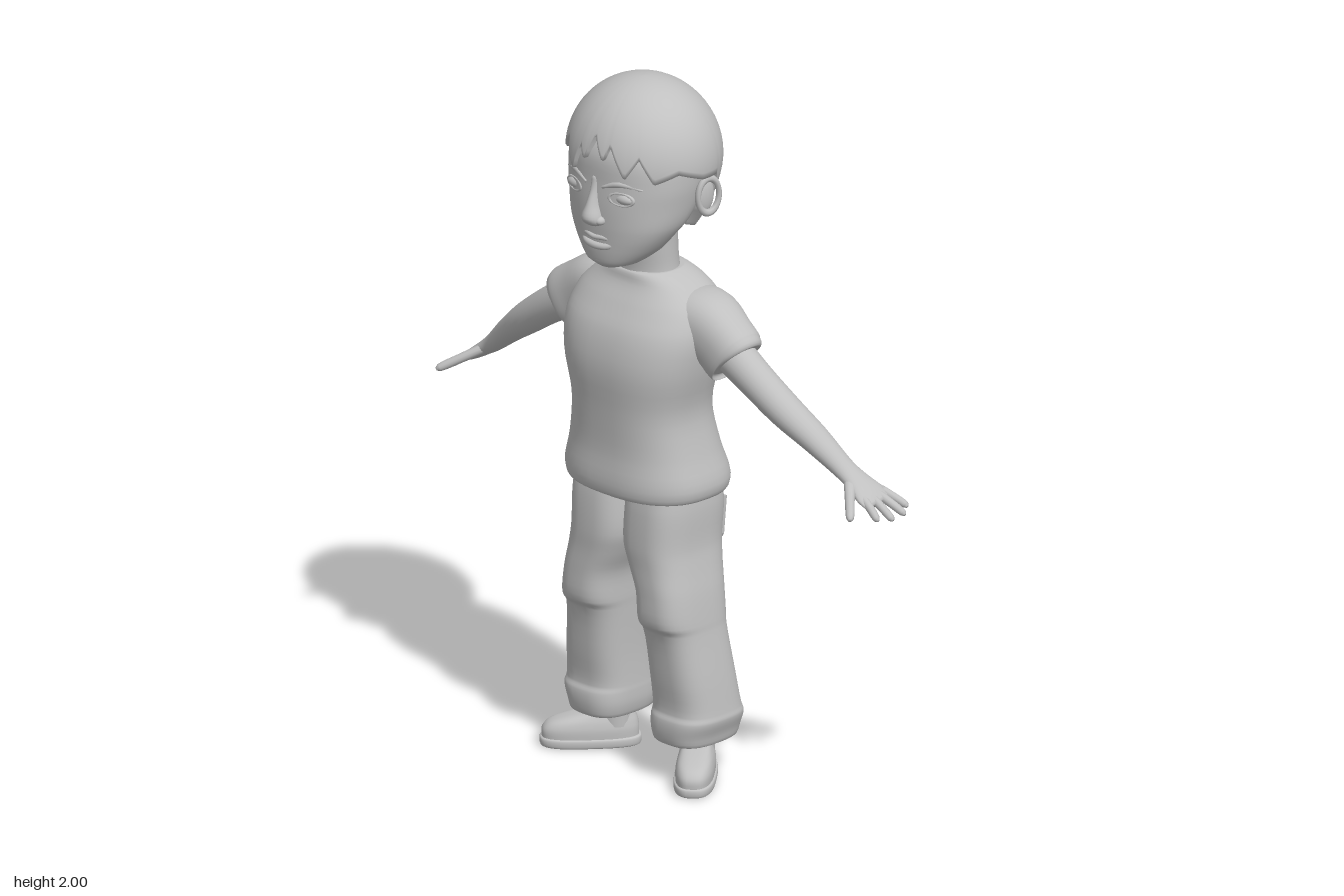
import * as THREE from 'three';

const V = (x, y, z) => new THREE.Vector3(x, y, z);
const clay = new THREE.MeshStandardMaterial({ color: 0xc0c0c0 });
clay.name = 'clay grey';

// Skin a list of closed rings (counter-clockwise about the direction of travel), capping both ends.
function skin(rings) {
  const n = rings[0].length, pos = [], idx = [];
  rings.forEach(r => r.forEach(p => pos.push(p.x, p.y, p.z)));
  for (let i = 0; i < rings.length - 1; i++) {
    for (let j = 0; j < n; j++) {
      const a = i * n + j, b = i * n + (j + 1) % n;
      idx.push(a, b, b + n, a, b + n, a + n);
    }
  }
  [0, rings.length - 1].forEach(i => {
    const c = rings[i].reduce((s, p) => s.add(p), V(0, 0, 0)).divideScalar(n);
    const k = pos.length / 3;
    pos.push(c.x, c.y, c.z);
    for (let j = 0; j < n; j++) {
      const a = i * n + j, b = i * n + (j + 1) % n;
      if (i === 0) idx.push(k, b, a); else idx.push(k, a, b);
    }
  });
  const g = new THREE.BufferGeometry();
  g.setAttribute('position', new THREE.Float32BufferAttribute(pos, 3));
  g.setIndex(idx);
  g.computeVertexNormals();
  return g;
}

// Smooth loft through [x, y, z, radius up, radius across]; upright keeps the rings level.
function loft(sections, { upright = false, power = 2, n = 32, sub = 4 } = {}) {
  const path = new THREE.CatmullRomCurve3(sections.map(s => V(s[0], s[1], s[2])));
  const size = new THREE.CatmullRomCurve3(sections.map(s => V(s[3], s[4], s[1])));
  const steps = (sections.length - 1) * sub, rings = [];
  const bend = c => Math.sign(c) * Math.abs(c) ** (2 / power);
  for (let i = 0; i <= steps; i++) {
    const c = path.getPoint(i / steps), r = size.getPoint(i / steps);
    const t = upright ? V(0, 1, 0) : path.getTangent(i / steps);
    const u = V(0, 0, 1).cross(t).normalize(), v = t.clone().cross(u);
    rings.push(Array.from({ length: n }, (_, j) => {
      const a = j / n * Math.PI * 2;
      return c.clone().addScaledVector(u, r.x * bend(Math.cos(a))).addScaledVector(v, r.y * bend(Math.sin(a)));
    }));
  }
  return skin(rings);
}

// Level rings given as [y, half width, front z, back z, centre x].
const stack = (rows, power = 2.4, n = 40) => loft(
  rows.map(([y, rx, f, b, x = 0]) => [x, y, (f + b) / 2, rx, (f - b) / 2]), { upright: true, power, n });

function mirrored(g) {
  const m = g.clone().scale(-1, 1, 1);
  if (!m.index) m.setIndex([...Array(m.attributes.position.count).keys()]);
  const ix = m.index.array;
  for (let i = 0; i < ix.length; i += 3) [ix[i], ix[i + 1]] = [ix[i + 1], ix[i]];
  m.computeVertexNormals();
  return m;
}

const ball = (x, y, z, rx, ry, rz) => new THREE.SphereGeometry(1, 24, 16).scale(rx, ry, rz).translate(x, y, z);

// Cap of hair with a jagged fringe, cut around the ears and long at the nape.
function hairGeometry() {
  const hem = [[-3.15, 1.55], [-2.25, 1.57], [-2.02, 1.64], [-1.95, 1.75], [-1.6, 1.755], [-1.2, 1.785],
    [-1.03, 1.77], [-0.6, 1.835], [-0.39, 1.755], [-0.23, 1.84], [-0.135, 1.8], [0, 1.88], [0.18, 1.81],
    [0.27, 1.86], [0.49, 1.77], [0.68, 1.83], [0.87, 1.76], [1.2, 1.785], [1.6, 1.755], [1.95, 1.75],
    [2.02, 1.64], [2.25, 1.57], [3.15, 1.55]];
  const hemY = phi => {
    const k = Math.max(1, hem.findIndex(h => h[0] >= phi));
    const [a, ya] = hem[k - 1], [b, yb] = hem[k];
    return THREE.MathUtils.lerp(ya, yb, (phi - a) / (b - a));
  };
  const n = 180, rows = 22, rings = [];
  for (let i = -1; i <= rows; i++) {
    const f = Math.sin(Math.max(i, 0) / rows * Math.PI / 2);
    rings.push(Array.from({ length: n }, (_, j) => {
      const phi = Math.PI - (j + 0.5) / n * Math.PI * 2;
      const low = hemY(phi), y = low + (2 - low) * f;
      let s = y > 1.78 ? Math.sqrt(Math.max(0, 1 - ((y - 1.78) / 0.22) ** 2))
        : 1 - 0.42 * ((1.78 - y) / 0.23) ** 1.7;
      if (i < 0) s *= 0.82;
      return V(0.222 * s * Math.sin(phi), y, -0.015 + 0.207 * s * Math.cos(phi));
    }).reverse());
  }
  return skin(rings);
}

export function createModel() {
  const model = new THREE.Group();
  model.name = 'standingBoy';
  const add = (name, g) => {
    const m = new THREE.Mesh(g, clay);
    m.name = name;
    model.add(m);
  };
  const pair = (name, g) => { add('left' + name, g); add('right' + name, mirrored(g)); };

  // Head and neck
  add('head', stack([[1.488, 0.035, 0.145, 0.08], [1.505, 0.08, 0.165, 0.03], [1.54, 0.12, 0.172, -0.03],
    [1.58, 0.15, 0.175, -0.06], [1.62, 0.172, 0.178, -0.1], [1.68, 0.186, 0.18, -0.14],
    [1.74, 0.194, 0.178, -0.15], [1.82, 0.188, 0.174, -0.16], [1.9, 0.13, 0.13, -0.12]], 2.2));
  add('neck', stack([[1.39, 0.115, 0.065, -0.12], [1.45, 0.1, 0.055, -0.105], [1.52, 0.098, 0.065, -0.1],
    [1.6, 0.1, 0.08, -0.1]], 2));
  add('hair', hairGeometry());

  // Face
  add('nose', stack([[1.618, 0.018, 0.19, 0.15], [1.628, 0.03, 0.206, 0.15], [1.645, 0.03, 0.216, 0.15],
    [1.68, 0.019, 0.204, 0.15], [1.72, 0.014, 0.188, 0.15], [1.76, 0.018, 0.178, 0.14]], 2, 24));
  pair('Nostril', ball(0.026, 1.637, 0.178, 0.014, 0.013, 0.018));
  pair('Eye', ball(0.088, 1.71, 0.15, 0.036, 0.017, 0.02));
  pair('EyeLids', new THREE.TorusGeometry(0.036, 0.006, 8, 32).scale(1, 0.5, 1)
    .rotateY(0.3).translate(0.088, 1.71, 0.161));
  pair('Brow', loft([[0.03, 1.735, 0.175, 0.004, 0.006], [0.08, 1.752, 0.163, 0.009, 0.008],
    [0.14, 1.742, 0.13, 0.004, 0.006]], { n: 12 }));
  [['upperLip', 1.585, 0.007], ['lowerLip', 1.561, 0.01]].forEach(([name, y, r]) =>
    add(name, loft([[-0.07, 1.573, 0.148, 0.003, 0.004], [-0.035, y, 0.169, r, r],
      [0, y - 0.002, 0.176, r, r], [0.035, y, 0.169, r, r], [0.07, 1.573, 0.148, 0.003, 0.004]], { n: 12 })));
  add('chin', ball(0, 1.517, 0.142, 0.045, 0.026, 0.026));

  // Ears
  pair('Ear', ball(0.193, 1.693, -0.052, 0.014, 0.05, 0.034));
  pair('EarRim', new THREE.TorusGeometry(0.04, 0.009, 8, 32).scale(0.85, 1.25, 1)
    .rotateY(Math.PI / 2 - 0.2).translate(0.206, 1.695, -0.055));

  // Shirt
  add('shirt', stack([[0.82, 0.2, 0.12, -0.18], [0.824, 0.228, 0.142, -0.2], [0.86, 0.238, 0.15, -0.207],
    [0.95, 0.216, 0.144, -0.182], [1.07, 0.198, 0.15, -0.162], [1.2, 0.226, 0.16, -0.175],
    [1.3, 0.236, 0.14, -0.187], [1.37, 0.215, 0.1, -0.182], [1.42, 0.165, 0.068, -0.155],
    [1.45, 0.115, 0.06, -0.125], [1.457, 0.1, 0.05, -0.11]], 2.5, 48));
  pair('Sleeve', loft([[0.12, 1.335, -0.06, 0.08, 0.1], [0.2, 1.32, -0.06, 0.095, 0.092],
    [0.265, 1.287, -0.055, 0.092, 0.08], [0.308, 1.257, -0.052, 0.093, 0.076],
    [0.318, 1.25, -0.052, 0.088, 0.07], [0.32, 1.248, -0.052, 0.07, 0.058]], { power: 2.3 }));

  // Arms and hands
  pair('Arm', loft([[0.26, 1.29, -0.05, 0.062, 0.058], [0.38, 1.22, -0.05, 0.052, 0.052],
    [0.49, 1.145, -0.065, 0.046, 0.05], [0.58, 1.08, -0.09, 0.037, 0.044], [0.67, 1.008, -0.115, 0.026, 0.035],
    [0.71, 0.98, -0.125, 0.021, 0.042], [0.75, 0.953, -0.133, 0.017, 0.055],
    [0.777, 0.935, -0.137, 0.011, 0.052]], { n: 24 }));
  [[0.815, 0.915, -0.207, -0.175], [0.835, 0.905, -0.178, -0.152], [0.836, 0.902, -0.132, -0.127],
    [0.82, 0.907, -0.092, -0.1]].forEach(([x, y, z, z0], i) =>
    pair('Finger' + (i + 1), loft([[0.745, 0.956, z0, 0.013, 0.013],
      [(0.745 + x) / 2, (0.962 + y) / 2, (z0 + z) / 2, 0.012, 0.012],
      [x - 0.008, y + 0.005, z, 0.01, 0.01], [x, y, z, 0.004, 0.004]], { n: 12 })));
  pair('Thumb', loft([[0.695, 0.988, -0.11, 0.015, 0.02], [0.74, 0.958, -0.062, 0.013, 0.014],
    [0.785, 0.928, -0.018, 0.011, 0.011], [0.792, 0.923, -0.01, 0.005, 0.005]], { n: 12 }));

  // Trousers: each leg has a knee fold and a gathered cuff
  pair('TrouserLeg', stack([[0.12, 0.065, 0.03, -0.13, 0.16], [0.114, 0.088, 0.058, -0.16, 0.16],
    [0.145, 0.099, 0.068, -0.172, 0.16], [0.185, 0.107, 0.068, -0.172, 0.166],
    [0.205, 0.105, 0.06, -0.165, 0.165], [0.3, 0.099, 0.07, -0.15, 0.16], [0.44, 0.092, 0.09, -0.135, 0.147],
    [0.467, 0.092, 0.108, -0.137, 0.145], [0.55, 0.09, 0.111, -0.14, 0.137], [0.62, 0.099, 0.11, -0.15, 0.115],
    [0.68, 0.105, 0.112, -0.16, 0.1], [0.78, 0.105, 0.108, -0.168, 0.1], [0.84, 0.1, 0.1, -0.16, 0.1]], 2.8));

  // Back pockets
  const pocket = new THREE.Shape();
  pocket.moveTo(-0.042, 0.065).lineTo(-0.04, -0.04);
  pocket.quadraticCurveTo(-0.03, -0.065, 0, -0.068);
  pocket.quadraticCurveTo(0.03, -0.065, 0.04, -0.04);
  pocket.lineTo(0.042, 0.065);
  pair('BackPocket', new THREE.ExtrudeGeometry(pocket, { depth: 0.012, bevelSize: 0.003, bevelThickness: 0.003,
    bevelSegments: 2 }).rotateX(-0.08).translate(0.108, 0.705, -0.172));

  // Ankles and out-turned shoes
  pair('Ankle', new THREE.CylinderGeometry(0.05, 0.048, 0.1, 24).translate(0.158, 0.11, -0.06));
  const place = g => g.rotateY(0.7).translate(0.2, 0, -0.012);
  pair('ShoeSole', place(stack([[0, 0.05, 0.132, -0.13], [0.004, 0.056, 0.139, -0.135],
    [0.024, 0.057, 0.14, -0.136], [0.028, 0.05, 0.132, -0.13]], 2.8)));
  pair('ShoeUpper', place(stack([[0.02, 0.052, 0.135, -0.13], [0.05, 0.053, 0.134, -0.13],
    [0.07, 0.049, 0.115, -0.127], [0.085, 0.043, 0.07, -0.122], [0.1, 0.036, 0, -0.115]], 2.7)));

  return model;
}
